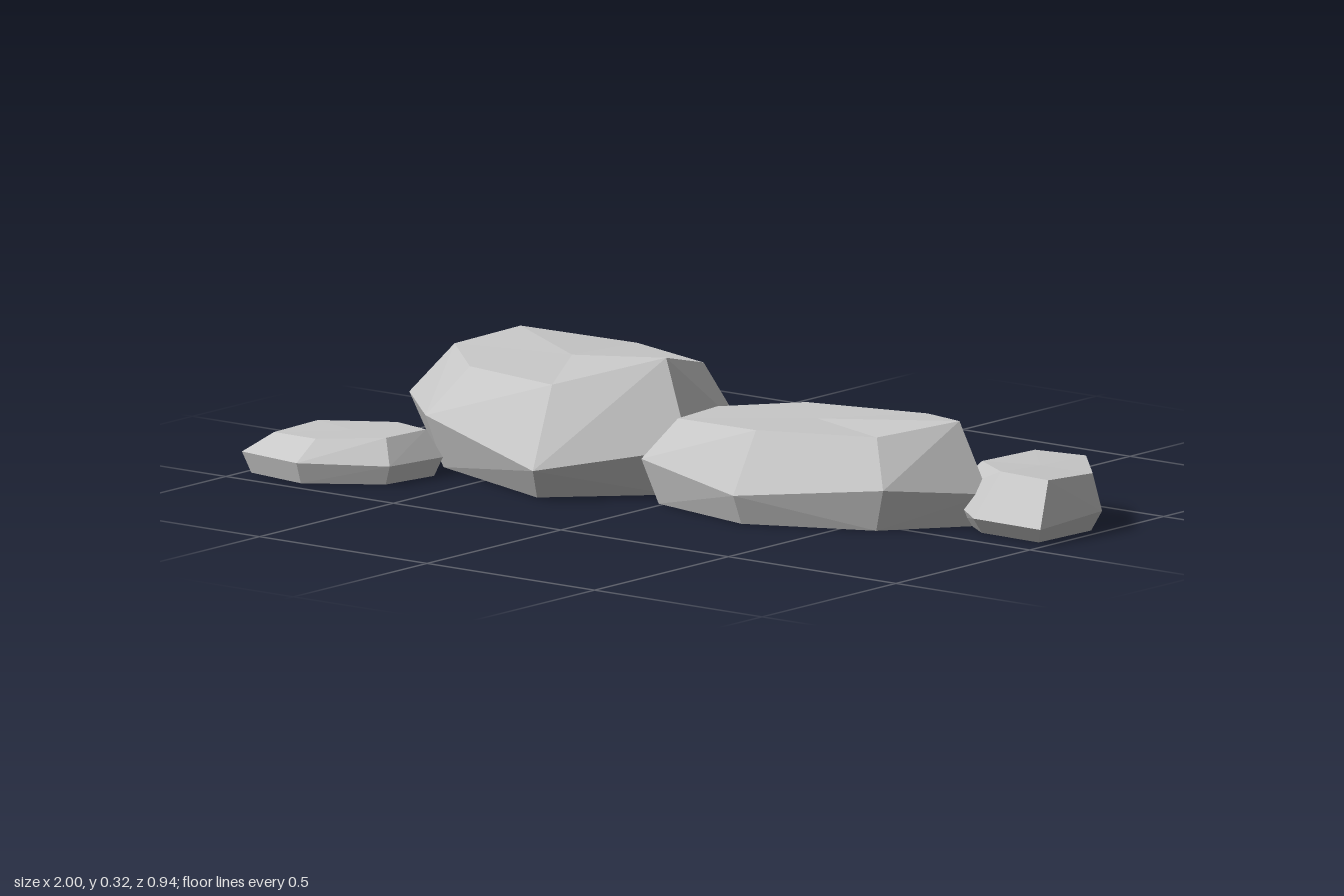
import * as THREE from 'three';

const stone = new THREE.MeshStandardMaterial({ color: 0xc6c6c6, flatShading: true });
stone.name = 'stone grey';

const centre = (ring) => ring.reduce((s, v) => s.add(v), new THREE.Vector3()).divideScalar(ring.length);

// A faceted boulder. Outline corners run clockwise from above as [x, z, waist height, crown height];
// the foot and the crown are scaled copies of the waist outline.
function makeRock(name, footScale, crownScaleX, crownScaleZ, shiftX, shiftZ, outline) {
  const waist = outline.map(([x, z, y]) => new THREE.Vector3(x, y, z));
  const c = centre(waist);
  const foot = waist.map((v) => v.clone().sub(c).multiplyScalar(footScale).add(c).setY(0));
  const crown = waist.map((v, i) => new THREE.Vector3(
    c.x + shiftX + (v.x - c.x) * crownScaleX,
    outline[i][3],
    c.z + shiftZ + (v.z - c.z) * crownScaleZ,
  ));
  const out = [];
  const tri = (...corners) => corners.forEach((v) => out.push(v.x, v.y, v.z));

  // Side facets, each split along its outward-bulging diagonal
  const band = (low, high) => low.forEach((a, i) => {
    const j = (i + 1) % low.length;
    const b = low[j], e = high[j], d = high[i];
    const plane = new THREE.Plane().setFromCoplanarPoints(a, d, e);
    if (plane.distanceToPoint(b) <= 0) {
      tri(a, d, e);
      tri(a, e, b);
    } else {
      tri(a, d, b);
      tri(d, e, b);
    }
  });
  band(foot, waist);
  band(waist, crown);

  // Flat underside and faceted top
  const peak = centre(crown), under = centre(foot);
  crown.forEach((v, i) => {
    const j = (i + 1) % crown.length;
    tri(peak, crown[j], v);
    tri(under, foot[i], foot[j]);
  });

  const geometry = new THREE.BufferGeometry();
  geometry.setAttribute('position', new THREE.Float32BufferAttribute(out, 3));
  geometry.computeVertexNormals();
  const mesh = new THREE.Mesh(geometry, stone);
  mesh.name = name;
  return mesh;
}

export function createModel() {
  const group = new THREE.Group();
  group.name = 'rockCluster';

  group.add(makeRock('largeRock', 0.87, 0.75, 0.71, 0.02, 0, [
    [-0.91, -0.415, 0.11, 0.255], [-0.48, -0.46, 0.13, 0.25], [-0.045, -0.235, 0.12, 0.27],
    [0.01, 0.035, 0.12, 0.317], [-0.25, 0.292, 0.075, 0.257], [-0.7, 0.13, 0.125, 0.24],
    [-0.98, -0.16, 0.1, 0.235],
  ]));

  group.add(makeRock('mediumRock', 0.9, 0.83, 0.74, 0, -0.01, [
    [0.125, -0.265, 0.12, 0.21], [0.565, -0.26, 0.14, 0.23], [0.765, -0.14, 0.08, 0.247],
    [0.61, 0.06, 0.1, 0.215], [0.28, 0.207, 0.07, 0.215], [-0.05, 0.137, 0.105, 0.2],
    [-0.07, -0.09, 0.095, 0.2],
  ]));

  group.add(makeRock('smallBackRock', 0.85, 0.71, 0.72, 0.035, 0, [
    [0.62, -0.44, 0.05, 0.14], [0.81, -0.47, 0.05, 0.14], [1, -0.27, 0.05, 0.138],
    [0.99, -0.052, 0.038, 0.145], [0.785, -0.058, 0.038, 0.147], [0.6, -0.19, 0.055, 0.14],
  ]));

  group.add(makeRock('smallFrontRock', 0.91, 0.76, 0.75, 0.006, -0.018, [
    [-0.97, 0.26, 0.085, 0.105], [-0.76, 0.13, 0.055, 0.105], [-0.608, 0.18, 0.045, 0.108],
    [-0.635, 0.345, 0.045, 0.105], [-0.815, 0.468, 0.05, 0.1], [-1, 0.44, 0.05, 0.095],
  ]));

  return group;
}
